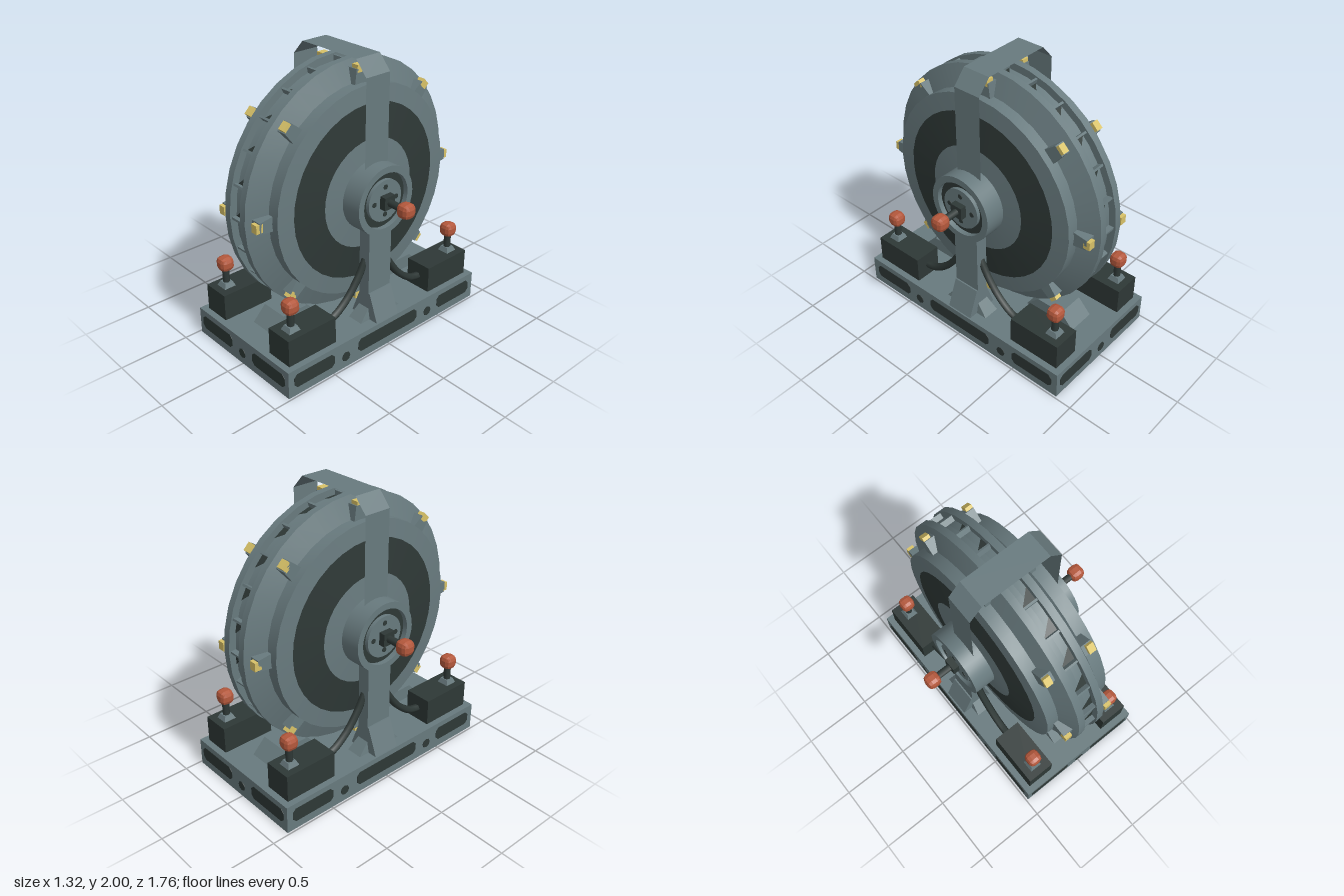
import * as THREE from 'three';
import { toCreasedNormals } from 'three/addons/utils/BufferGeometryUtils.js';
import { RoundedBoxGeometry } from 'three/addons/geometries/RoundedBoxGeometry.js';

const material = (name, color, side = THREE.FrontSide) => {
  const m = new THREE.MeshStandardMaterial({ color, side });
  m.name = name;
  return m;
};

export function createModel() {
  const steel = material('steel grey', 0x687a7e, THREE.DoubleSide);
  const dark = material('dark iron', 0x2e3836, THREE.DoubleSide);
  const gold = material('pale gold', 0xd8c268);
  const red = material('rust red', 0xb4583c);
  const AXLE = 1.08;
  const model = new THREE.Group();
  model.name = 'wheelMachine';

  const add = (parent, name, geo, mat, x = 0, y = 0, z = 0) => {
    const mesh = new THREE.Mesh(geo, mat);
    mesh.name = name;
    mesh.position.set(x, y, z);
    parent.add(mesh);
    return mesh;
  };
  const group = (parent, name) => {
    const g = new THREE.Group();
    g.name = name;
    parent.add(g);
    return g;
  };
  const box = (w, h, d) => new THREE.BoxGeometry(w, h, d);

  // Ring turned around the x axle; points are [x, radius]
  const turned = (points, segments = 36) => toCreasedNormals(
    new THREE.LatheGeometry(points.map(([x, r]) => new THREE.Vector2(r, x)), segments)
      .rotateZ(-Math.PI / 2), 0.3);

  // Box whose bottom is widened
  const flared = (w, h, d, bottomW, bottomD) => {
    const geo = box(w, h, d).toNonIndexed();
    const p = geo.attributes.position;
    for (let i = 0; i < p.count; i++) {
      if (p.getY(i) < 0) p.setXYZ(i, p.getX(i) * bottomW / w, p.getY(i), p.getZ(i) * bottomD / d);
    }
    geo.computeVertexNormals();
    return geo;
  };

  // Thin panel with cut corners, facing +z
  const panel = (w, h, c = 0.025) => {
    const a = w / 2, b = h / 2;
    const shape = new THREE.Shape([[-a + c, -b], [a - c, -b], [a, -b + c], [a, b - c],
      [a - c, b], [-a + c, b], [-a, b - c], [-a, -b + c]].map(([x, y]) => new THREE.Vector2(x, y)));
    return new THREE.ExtrudeGeometry(shape, { depth: 0.006, bevelEnabled: false });
  };

  // Faceted knob on a stem, pointing up
  const knobGeo = new RoundedBoxGeometry(0.1, 0.1, 0.1, 1, 0.032);
  knobGeo.computeVertexNormals();
  const lever = (parent, name, footMat) => {
    const g = group(parent, name);
    add(g, 'leverFoot', flared(0.06, 0.035, 0.06, 0.09, 0.09), footMat, 0, 0.017, 0);
    add(g, 'leverStem', new THREE.CylinderGeometry(0.025, 0.025, 0.14, 8), dark, 0, 0.07, 0);
    add(g, 'leverKnob', knobGeo, red, 0, 0.175, 0);
    return g;
  };

  // Base with inset-looking panels on all four walls
  add(model, 'base', box(0.97, 0.2, 1.75), steel, 0, 0.1, 0);
  const disc = new THREE.CylinderGeometry(0.035, 0.035, 0.008, 8).rotateX(Math.PI / 2);
  for (const turn of [0, Math.PI]) {
    const end = group(model, 'baseEnd');
    end.rotation.y = turn;
    for (const s of [-1, 1]) add(end, 'endPanel', panel(0.34, 0.1), dark, s * 0.28, 0.11, 0.872);
    add(end, 'endPort', disc, dark, 0, 0.085, 0.875);

    // Saddle under the wheel
    const saddle = new THREE.Shape([[0.3, 0.2], [0.7, 0.2], [0.6, 0.3], [0.4, 0.3]]
      .map(([x, y]) => new THREE.Vector2(x, y)));
    add(end, 'saddle', new THREE.ExtrudeGeometry(saddle, { depth: 0.2, bevelEnabled: false })
      .rotateY(-Math.PI / 2), steel, 0.1, 0, 0);
  }

  // Everything repeated on the left and right
  for (const turn of [0, Math.PI]) {
    const side = group(model, turn ? 'rightSide' : 'leftSide');
    side.rotation.y = turn;

    const wall = group(side, 'baseWall');
    wall.rotation.y = Math.PI / 2;
    for (const [x, w] of [[-0.66, 0.34], [0, 0.56], [0.66, 0.34]]) {
      add(wall, 'wallPanel', panel(w, 0.1), dark, x, 0.11, 0.482);
    }
    for (const x of [-0.39, 0.39]) add(wall, 'wallPort', disc, dark, x, 0.085, 0.485);

    // Wheel half: groove floor, rim, shoulder, face bands
    const wheel = group(side, 'wheelHalf');
    wheel.position.y = AXLE;
    add(wheel, 'rim', turned([[0, 0.82], [0.05, 0.82], [0.05, 0.87], [0.1, 0.87],
      [0.155, 0.73], [0.24, 0.73], [0.252, 0.61]]), steel);
    add(wheel, 'darkBand', turned([[0.252, 0.61], [0.276, 0.38]]), dark);
    add(wheel, 'innerBand', turned([[0.276, 0.38], [0.29, 0.2]]), steel);

    // Hub with a dark recess and four holes
    add(wheel, 'hub', turned([[0.28, 0.24], [0.435, 0.24], [0.435, 0.195], [0.4, 0.195]]), steel);
    add(wheel, 'hubRecess', turned([[0.4, 0.2], [0.4, 0.14]]), dark);
    add(wheel, 'hubCap', turned([[0.4, 0.145], [0.425, 0.145], [0.425, 0.001]]), steel);
    for (let i = 0; i < 4; i++) {
      const a = i * Math.PI / 2;
      add(wheel, 'hubHole', new THREE.CylinderGeometry(0.018, 0.018, 0.008, 8).rotateZ(Math.PI / 2),
        dark, 0.425, Math.cos(a) * 0.097, Math.sin(a) * 0.097);
    }
    add(wheel, 'axleBlock', box(0.05, 0.09, 0.09), dark, 0.445, 0, 0);
    const axleLever = lever(wheel, 'axleLever', dark);
    axleLever.rotation.z = -Math.PI / 2;
    axleLever.position.x = 0.435;

    // Eight clips around the shoulder
    for (let i = 0; i < 8; i++) {
      const clip = group(wheel, 'clip');
      clip.rotation.x = i * Math.PI / 4;
      add(clip, 'clipBlock', flared(0.09, 0.13, 0.075, 0.09, 0.11), steel, 0.145, 0.76, 0);
      add(clip, 'clipLamp', box(0.05, 0.05, 0.06), gold, 0.165, 0.825, 0);
    }

    // Post carrying the hub
    add(side, 'post', box(0.09, 0.75, 0.2), steel, 0.345, 0.575, 0);
    add(side, 'postFoot', flared(0.09, 0.2, 0.2, 0.24, 0.2), steel, 0.355, 0.3, 0);
    add(side, 'postGusset', flared(0.09, 0.08, 0.2, 0.12, 0.36), steel, 0.345, 0.24, 0);

    // Control boxes, levers and cables
    for (const s of [-1, 1]) {
      add(side, 'controlBox', box(0.2, 0.195, 0.39), dark, 0.34, 0.295, s * 0.635);
      lever(side, 'boxLever', steel).position.set(0.345, 0.392, s * 0.735);
      const path = new THREE.CatmullRomCurve3([[0.45, 0.29], [0.36, 0.31], [0.24, 0.4], [0.14, 0.53], [0.08, 0.64]]
        .map(([z, y]) => new THREE.Vector3(0.335, y, s * z)));
      add(side, 'cable', new THREE.TubeGeometry(path, 12, 0.027, 6), dark);
    }
  }

  // Triangular dark pockets and cross bars in the groove
  const pocket = new THREE.ShapeGeometry(new THREE.Shape([[-0.045, -0.045], [0.05, -0.045], [0.05, 0.045]]
    .map(([x, y]) => new THREE.Vector2(x, y)))).rotateX(-Math.PI / 2);
  const groove = group(model, 'groove');
  groove.position.y = AXLE;
  for (let i = 0; i < 24; i++) {
    const cell = group(groove, 'grooveCell');
    cell.rotation.x = i * Math.PI / 12 - 0.055 + Math.PI / 2;
    add(cell, 'groovePocket', pocket, dark, 0, 0.823, 0);
    add(cell, 'grooveBar', box(0.1, 0.04, 0.015), steel, 0, 0.835, 0.053);
  }

  // Thin strap arching over the wheel
  const strap = [[0.34, 1.25], [0.34, 1.9], [0.25, 2], [-0.25, 2], [-0.34, 1.9], [-0.34, 1.25]];
  const corners = [];
  for (let i = 0; i < strap.length - 1; i++) {
    const [a, b] = strap[i], [c, d] = strap[i + 1];
    corners.push(a, b, 0.1, a, b, -0.1, c, d, -0.1, a, b, 0.1, c, d, -0.1, c, d, 0.1);
  }
  const strapGeo = new THREE.BufferGeometry();
  strapGeo.setAttribute('position', new THREE.Float32BufferAttribute(corners, 3));
  strapGeo.computeVertexNormals();
  add(model, 'strap', strapGeo, steel);

  return model;
}
